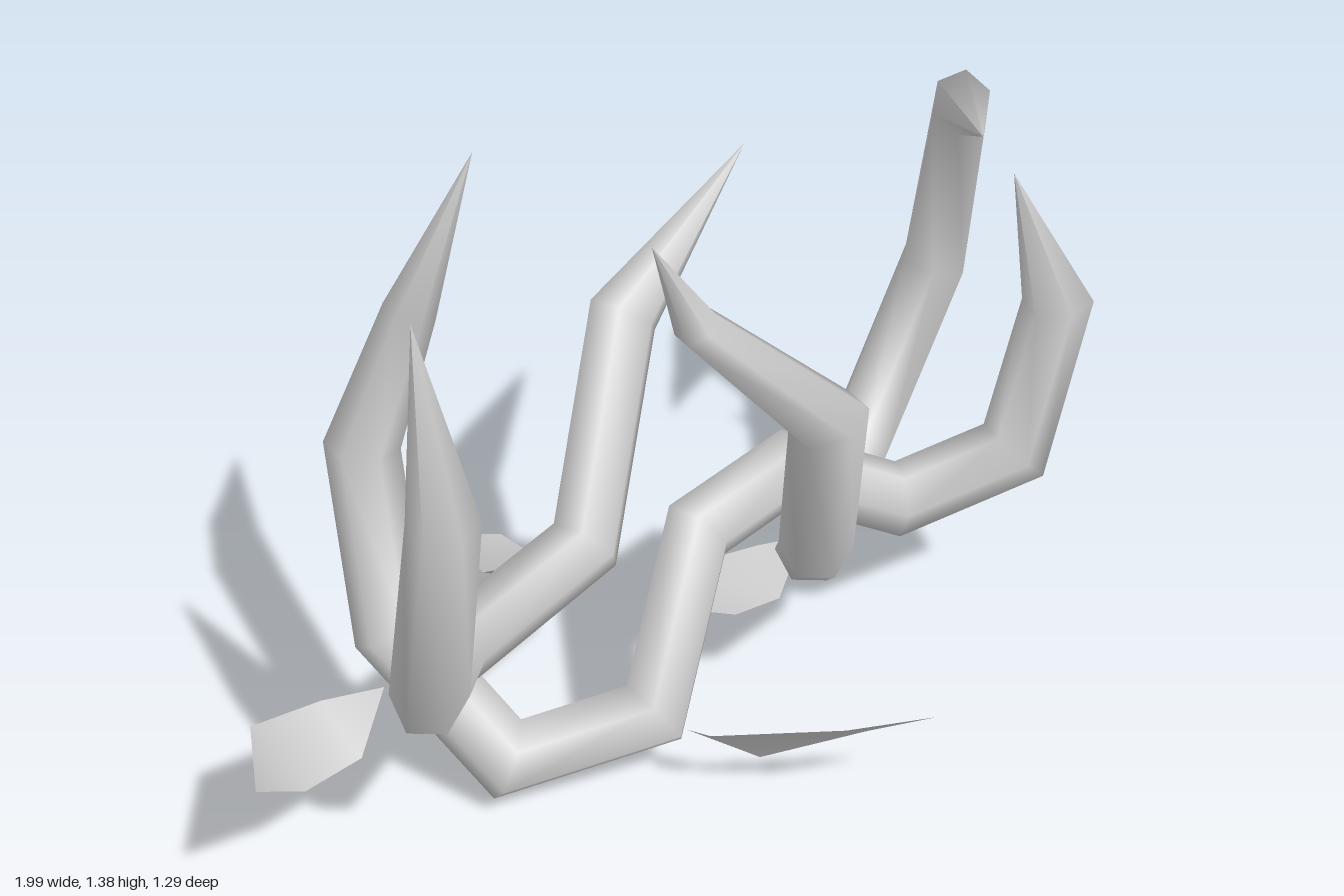
import * as THREE from 'three';

const SIDES = 6;
const RADIUS = 0.075;

// Mitred sweep along a polyline; each point is [x, y, z, relative radius].
function vine(name, pts, material) {
  const c = pts.map(p => new THREE.Vector3(p[0], p[1], p[2]));
  const n = c.length;
  const dirs = c.slice(1).map((p, i) => p.clone().sub(c[i]).normalize());
  const u = new THREE.Vector3(0, 0, 1).cross(dirs[0]).normalize();
  const v = dirs[0].clone().cross(u);
  let ring = [];
  for (let j = 0; j < SIDES; j++) {
    const a = (j + 0.5) / SIDES * Math.PI * 2;
    ring.push(u.clone().multiplyScalar(Math.cos(a) * RADIUS).addScaledVector(v, Math.sin(a) * RADIUS));
  }
  const pos = [], index = [];
  for (let i = 0; i < n; i++) {
    if (i > 0) {
      // slide the ring along its segment onto the plane halving the bend
      const d = dirs[i - 1];
      const plane = i < n - 1 ? d.clone().add(dirs[i]).normalize() : d;
      ring = ring.map(o => o.clone().addScaledVector(d, -o.dot(plane) / d.dot(plane)));
    }
    for (const o of ring) {
      const p = c[i].clone().addScaledVector(o, pts[i][3] ?? 1);
      pos.push(p.x, p.y, p.z);
    }
  }
  for (let i = 0; i < n - 1; i++) {
    for (let j = 0; j < SIDES; j++) {
      const a = i * SIDES + j, b = i * SIDES + (j + 1) % SIDES;
      index.push(a, b, a + SIDES, b, b + SIDES, a + SIDES);
    }
  }
  return surface(name, pos, index, material);
}

// Thin leaf: base, two points on each edge, tip.
function leaf(name, [base, l1, l2, tip, r2, r1], material) {
  const pos = [base, l1, r1, l2, r2, tip].flat();
  return surface(name, pos, [0, 2, 1, 1, 2, 4, 1, 4, 3, 3, 4, 5], material);
}

function surface(name, pos, index, material) {
  const g = new THREE.BufferGeometry();
  g.setAttribute('position', new THREE.Float32BufferAttribute(pos, 3));
  g.setIndex(index);
  g.computeVertexNormals();
  const mesh = new THREE.Mesh(g, material);
  mesh.name = name;
  return mesh;
}

export function createModel() {
  const bark = new THREE.MeshStandardMaterial({ color: 0xcccccc });
  const foil = new THREE.MeshStandardMaterial({ color: 0xcccccc, side: THREE.DoubleSide });
  const model = new THREE.Group();
  model.name = 'thornyVines';

  // three interlaced vines, pointed at both ends
  model.add(vine('rearVine', [
    [-0.64, 1.34, 0.33, 0], [-0.635, 0.97, 0.41, 0.9], [-0.65, 0.54, 0.35], [-0.47, 0.37, 0.08],
    [-0.1, 0.43, -0.02], [0.1, 0.82, -0.2], [0.46, 1.06, -0.31, 0],
  ], bark));
  model.add(vine('frontVine', [
    [-0.16, 1.34, 0.33, 0], [-0.02, 1.09, 0.26, 0.6], [0.22, 0.85, 0.36], [0.24, 0.51, 0.31],
    [0.42, 0.25, 0.04], [0.71, 0.28, -0.2], [0.92, 0.67, -0.24], [0.9, 1.1, -0.16, 0.85],
    [0.68, 1.25, 0.19, 0],
  ], bark));
  model.add(vine('longVine', [
    [-0.3, 1.38, -0.07, 0], [-0.43, 1.06, -0.1, 0.7], [-0.49, 0.7, -0.22], [-0.55, 0.4, -0.01],
    [-0.39, 0.12, 0.16], [-0.1, 0.18, 0.25], [0.1, 0.46, 0.09], [0.35, 0.49, 0.04],
    [0.56, 0.4, 0.15], [0.82, 0.46, 0.2], [0.91, 0.8, 0.19, 0.95], [0.79, 1.12, 0.16, 0],
  ], bark));

  // scattered leaves
  const leaves = {
    leftLeaf: [[-0.61, 0.34, 0.07], [-0.72, 0.31, 0.01], [-0.88, 0.33, 0.03],
      [-1, 0.45, 0.33], [-0.84, 0.26, 0.18], [-0.7, 0.25, 0.14]],
    rearLeaf: [[-0.03, 0.33, -0.1], [-0.22, 0.26, -0.24], [-0.22, 0.24, -0.4],
      [-0.195, 0.16, -0.535], [-0.11, 0.24, -0.36], [-0.02, 0.19, -0.17]],
    lowLeaf: [[0.66, 0.2, -0.18], [0.62, 0.14, -0.36], [0.75, 0.05, -0.53],
      [0.96, 0, -0.65], [0.85, 0.05, -0.45], [0.79, 0.03, -0.3]],
    frontLeaf: [[-0.065, 0.17, 0.32], [-0.06, 0.21, 0.4], [0.13, 0.28, 0.59],
      [0.31, 0.275, 0.645], [0.23, 0.19, 0.53], [0.06, 0.1, 0.4]],
    innerLeaf: [[0.08, 0.23, 0.04], [0.18, 0.18, -0.13], [0.42, 0.13, -0.16],
      [0.52, 0.135, -0.13], [0.38, 0.1, -0.01], [0.24, 0.14, 0.03]],
  };
  for (const [name, pts] of Object.entries(leaves)) model.add(leaf(name, pts, foil));
  return model;
}
